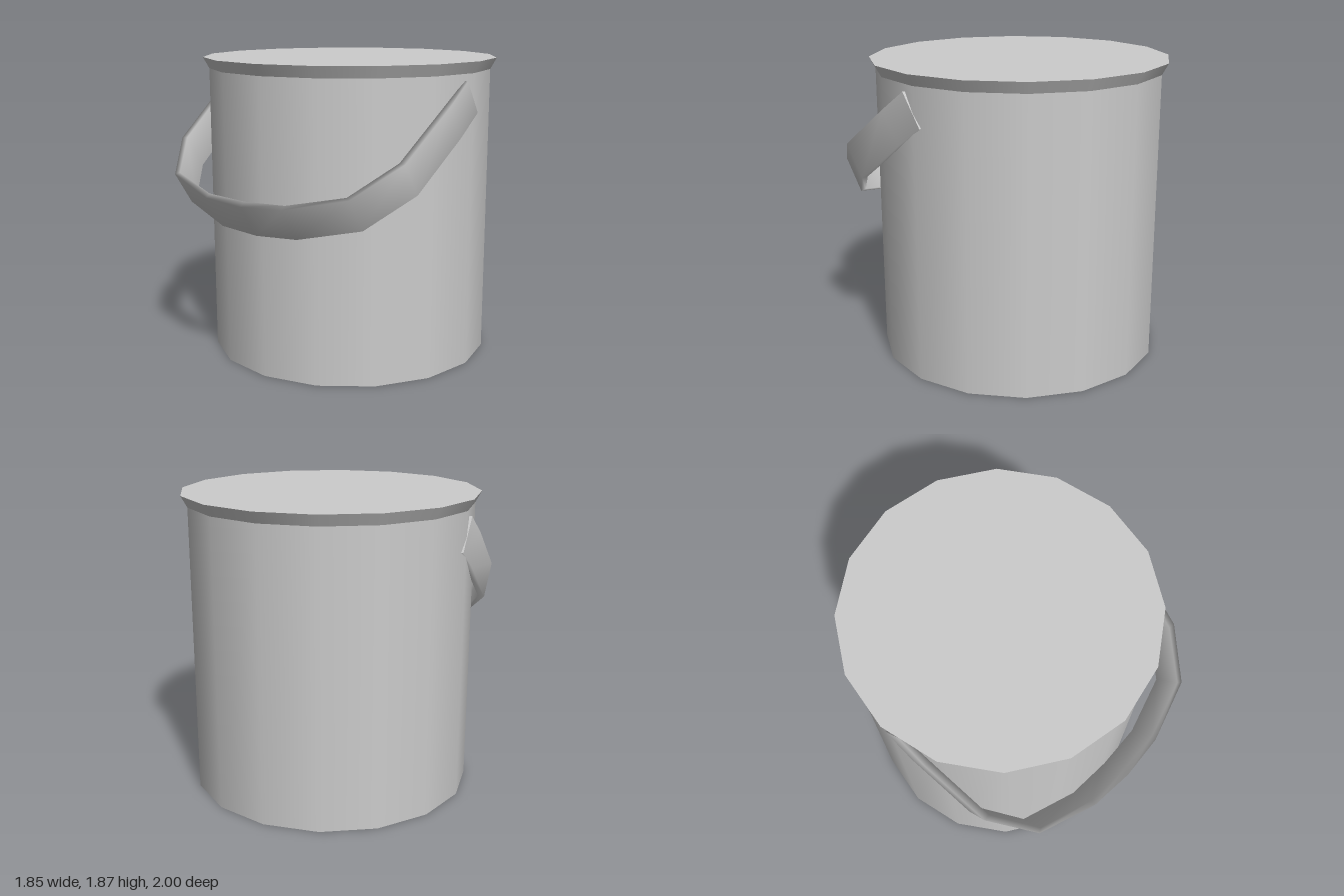
import * as THREE from 'three';

const steel = new THREE.MeshStandardMaterial({ color: 0xcccccc });
steel.name = 'light grey metal';

const SIDES = 16;
const CENTRE_Z = -0.075;

// Flat strap bent along half-profiles of [x, forward] points, mirrored in x
function strapGeometry(outer, inner, low, high) {
  const mirror = (half) => [...half, ...half.slice(0, -1).reverse().map(([x, f]) => [-x, f])];
  const out = mirror(outer), inn = mirror(inner);
  const position = [], index = [];
  out.forEach(([ox, of], i) => {
    const [ix, inf] = inn[i];
    position.push(ox, high, of, ox, low, of, ix, low, inf, ix, high, inf);
  });
  const quad = (a, b, c, d) => index.push(a, b, c, a, c, d);
  for (let i = 0; i < out.length - 1; i++) {
    for (let j = 0; j < 4; j++) {
      const k = (j + 1) % 4, p = i * 4, q = p + 4;
      quad(p + j, q + j, q + k, p + k);
    }
  }
  // end caps with their own corners so they stay crisp
  const last = (out.length - 1) * 4;
  for (const corners of [[0, 1, 2, 3], [last + 3, last + 2, last + 1, last]]) {
    const start = position.length / 3;
    for (const c of corners) position.push(...position.slice(c * 3, c * 3 + 3));
    quad(start, start + 1, start + 2, start + 3);
  }
  const geometry = new THREE.BufferGeometry();
  geometry.setAttribute('position', new THREE.Float32BufferAttribute(position, 3));
  geometry.setIndex(index);
  geometry.computeVertexNormals();
  return geometry;
}

export function createModel() {
  const model = new THREE.Group();
  model.name = 'bucket';

  // Straight wall with closed base
  const body = new THREE.Mesh(new THREE.CylinderGeometry(0.887, 0.887, 1.8, SIDES), steel);
  body.name = 'body';
  body.position.set(0, 0.9, CENTRE_Z);

  // Flared rim with flat top
  const rim = new THREE.Mesh(new THREE.CylinderGeometry(0.925, 0.887, 0.07, SIDES), steel);
  rim.name = 'rim';
  rim.position.set(0, 1.835, CENTRE_Z);

  // Carrying strap hanging forward and down
  const outer = [[0.89, -0.99], [0.885, -0.76], [0.84, -0.27], [0.65, 0.045], [0.28, 0.187], [0, 0.212]];
  const inner = [[0.866, -0.99], [0.845, -0.76], [0.8, -0.275], [0.625, 0.025], [0.28, 0.15], [0, 0.167]];
  const handle = new THREE.Mesh(strapGeometry(outer, inner, 1.217, 1.453), steel);
  handle.name = 'handle';
  handle.rotation.x = 0.6;

  model.add(body, rim, handle);
  return model;
}
